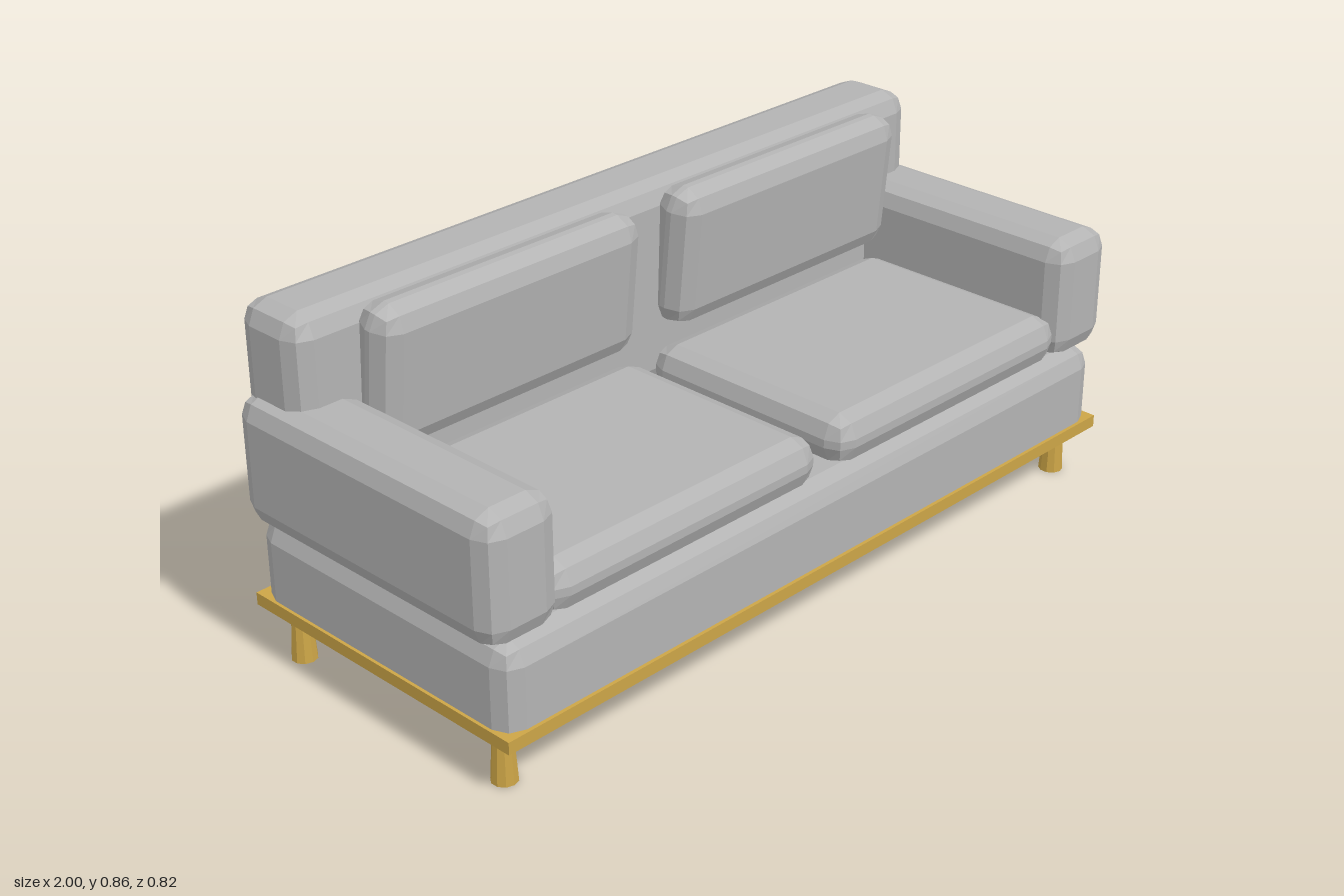
import * as THREE from 'three';
import { RoundedBoxGeometry } from 'three/addons/geometries/RoundedBoxGeometry.js';

const BEVEL = 0.05;

export function createModel() {
  const sofa = new THREE.Group();
  sofa.name = 'sofa';

  const fabric = new THREE.MeshStandardMaterial({ color: 0xb3b3b3 });
  fabric.name = 'grey fabric';
  const wood = new THREE.MeshStandardMaterial({ color: 0xcca547 });
  wood.name = 'golden wood';

  function add(name, geometry, material, x, y, z) {
    const mesh = new THREE.Mesh(geometry, material);
    mesh.name = name;
    mesh.position.set(x, y, z);
    sofa.add(mesh);
    return mesh;
  }

  // Faceted upholstery block: each edge is a two-step bevel
  function block(w, h, d, radius = BEVEL) {
    const g = new RoundedBoxGeometry(w, h, d, 1, radius);
    g.computeVertexNormals();
    return g;
  }

  // Wooden platform with an inset panel underneath
  add('platform', new THREE.BoxGeometry(1.95, 0.03, 0.816), wood, 0, 0.14, 0);
  add('undersidePanel', new THREE.BoxGeometry(0.93, 0.002, 0.36), fabric, -0.495, 0.1245, -0.16);

  // Tapered legs, wider at the foot
  for (const x of [-0.92, 0.92]) {
    for (const z of [-0.327, 0.327]) {
      add('leg', new THREE.CylinderGeometry(0.022, 0.03, 0.126, 10).toNonIndexed(), wood, x, 0.063, z)
        .geometry.computeVertexNormals();
    }
  }

  // Seat base: bevelled above, cut flat where it meets the platform
  const base = block(1.935, 0.25, 0.797);
  const p = base.attributes.position;
  for (let i = 0; i < p.count; i++) p.setY(i, Math.max(p.getY(i), -0.075));
  base.computeVertexNormals();
  add('seatBase', base, fabric, 0, 0.225, 0.001);

  // Backrest
  add('backrest', block(1.93, 0.507, 0.2), fabric, 0, 0.6035, -0.308);

  // Arms and cushions, mirrored
  for (const s of [-1, 1]) {
    const side = s > 0 ? 'left' : 'right';
    add(side + 'Arm', block(0.195, 0.303, 0.797), fabric, s * 0.9025, 0.5015, 0.001);
    add(side + 'SeatCushion', block(0.8, 0.12, 0.6), fabric, s * 0.43, 0.41, 0.09);
    const cushion = add(side + 'BackCushion', block(0.75, 0.345, 0.115), fabric, s * 0.437, 0.684, -0.18);
    cushion.rotation.x = 0.1;
  }

  return sofa;
}
